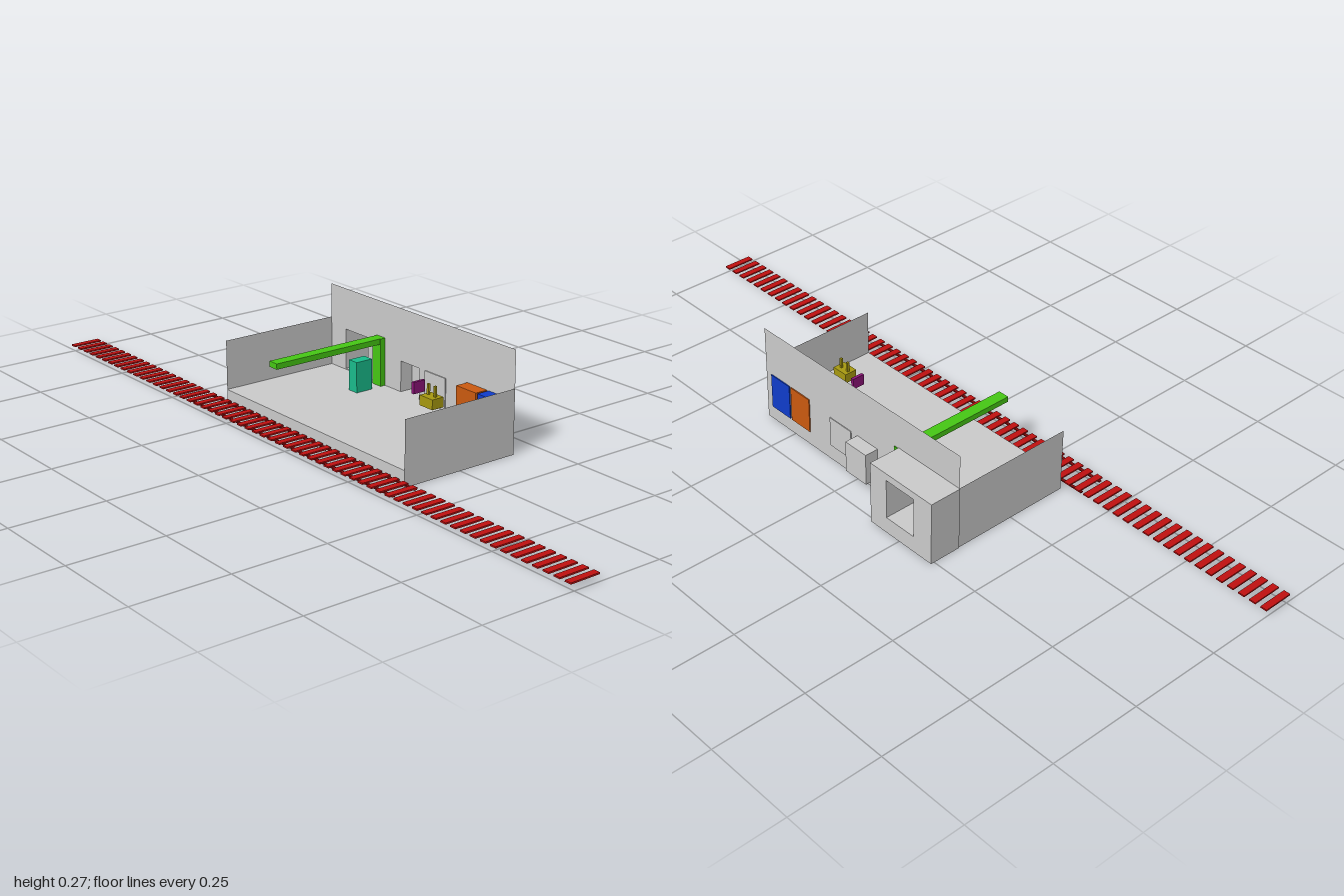
import * as THREE from 'three';

export function createModel() {
  const model = new THREE.Group();
  const mat = (color) => new THREE.MeshStandardMaterial({ color, flatShading: true, side: THREE.DoubleSide });
  const grey = mat(0xcccccc), green = mat(0x46c814), teal = mat(0x1abc8c), orange = mat(0xcc5a10),
    blue = mat(0x0f3ccc), olive = mat(0xa89a10), cyan = mat(0x18b8c4), purple = mat(0x8c1478),
    red = mat(0xc01010), darkRed = mat(0x7a0c0c);

  const add = (name, geometry, material, parent = model) => {
    const mesh = new THREE.Mesh(geometry, material);
    mesh.name = name;
    parent.add(mesh);
    return mesh;
  };
  // Box given by its lower and upper limits on each axis
  const box = (name, [x0, x1], [y0, y1], [z0, z1], material, parent) => {
    const mesh = add(name, new THREE.BoxGeometry(x1 - x0, y1 - y0, z1 - z0), material, parent);
    mesh.position.set((x0 + x1) / 2, (y0 + y1) / 2, (z0 + z1) / 2);
    return mesh;
  };
  const rect = (Type, x0, x1, y0, y1) => new Type([
    [x0, y0], [x1, y0], [x1, y1], [x0, y1],
  ].map(([x, y]) => new THREE.Vector2(x, y)));

  const FLOOR = 0.043, BACK = -0.17, FRONT = 0.17, SIDE = 0.36;
  const windowRect = [-0.3, -0.205, 0.045, 0.155];
  const nicheRect = [-0.07, 0.005, FLOOR, 0.127];

  // Raised floor
  box('floor', [-SIDE, SIDE], [0, FLOOR], [BACK, FRONT], grey);

  // Thin back wall with the window and niche cut out
  const wall = rect(THREE.Shape, -SIDE, SIDE, 0, 0.267);
  wall.holes.push(rect(THREE.Path, ...windowRect), rect(THREE.Path, ...nicheRect));
  add('backWall', new THREE.ShapeGeometry(wall), grey).position.z = BACK;

  // Thin side walls
  for (const [name, x, h] of [['leftWall', SIDE, 0.169], ['rightWall', -SIDE, 0.175]]) {
    const side = add(name, new THREE.PlaneGeometry(FRONT - BACK, h), grey);
    side.rotation.y = Math.PI / 2;
    side.position.set(x, h / 2, 0);
  }

  // Rear annex with a passage through it
  const annex = rect(THREE.Shape, -0.362, -0.148, 0, 0.175);
  annex.holes.push(rect(THREE.Path, ...windowRect));
  add('rearAnnex', new THREE.ExtrudeGeometry(annex, { depth: 0.089, bevelEnabled: false }), grey)
    .position.z = -0.26;

  // Niche behind the wall, open towards the room
  const niche = new THREE.Group();
  niche.name = 'niche';
  model.add(niche);
  const [nx0, nx1, ny0, ny1] = nicheRect;
  add('nicheSides', new THREE.ExtrudeGeometry(
    (() => {
      const s = rect(THREE.Shape, nx0, nx1, ny0 - 0.004, ny1);
      s.holes.push(rect(THREE.Path, nx0 + 0.001, nx1 - 0.001, ny0, ny1 - 0.001));
      return s;
    })(), { depth: 0.038, bevelEnabled: false }), grey, niche).position.z = -0.208;
  box('nicheBack', [nx0, nx1], [ny0 - 0.004, ny1], [-0.208, -0.207], grey, niche);

  // Flat door panel
  box('doorPanel', [0.028, 0.108], [FLOOR, 0.127], [-0.172, -0.167], grey);

  // Cabinets set into the back wall
  box('orangeCabinet', [0.188, 0.26], [0.04, 0.138], [-0.173, -0.134], orange);
  box('blueCabinet', [0.266, 0.338], [0.04, 0.138], [-0.173, -0.134], blue);

  // Overhead crane: beam, end lip and rear post
  const crane = new THREE.Group();
  crane.name = 'crane';
  model.add(crane);
  box('craneBeam', [-0.166, -0.135], [0.157, 0.172], [BACK, 0.173], green, crane);
  box('cranePost', [-0.166, -0.133], [0.015, 0.172], [-0.172, -0.155], green, crane);
  box('tealCabinet', [-0.163, -0.131], [FLOOR, 0.125], [-0.125, -0.075], teal);

  // Small workstation: tray, head and two prongs
  const station = new THREE.Group();
  station.name = 'workstation';
  model.add(station);
  box('tray', [0.197, 0.253], [0.06, 0.083], [-0.045, -0.012], cyan, station);
  box('head', [0.203, 0.25], [0.12, 0.146], [-0.04, -0.005], olive, station);
  for (const x of [0.212, 0.237])
    box('prong', [x - 0.003, x + 0.003], [0.146, 0.173], [-0.028, -0.022], olive, station);

  // Small hanging panel
  box('hangingPanel', [0.155, 0.163], [0.133, 0.163], [-0.055, -0.02], purple);

  // Track: sleepers along the full length, two short rails beneath
  const track = new THREE.Group();
  track.name = 'track';
  model.add(track);
  const count = 62, width = 0.018, pitch = (2 - width) / (count - 1);
  for (let i = 0; i < count; i++) {
    const x = -1 + i * pitch;
    box('sleeper', [x, x + width], [0.017, 0.021], [0.177, 0.26], red, track);
  }
  for (const z of [0.183, 0.247])
    box('rail', [-0.42, 0.415], [0.015, 0.018], [z - 0.004, z + 0.004], darkRed, track);

  return model;
}
